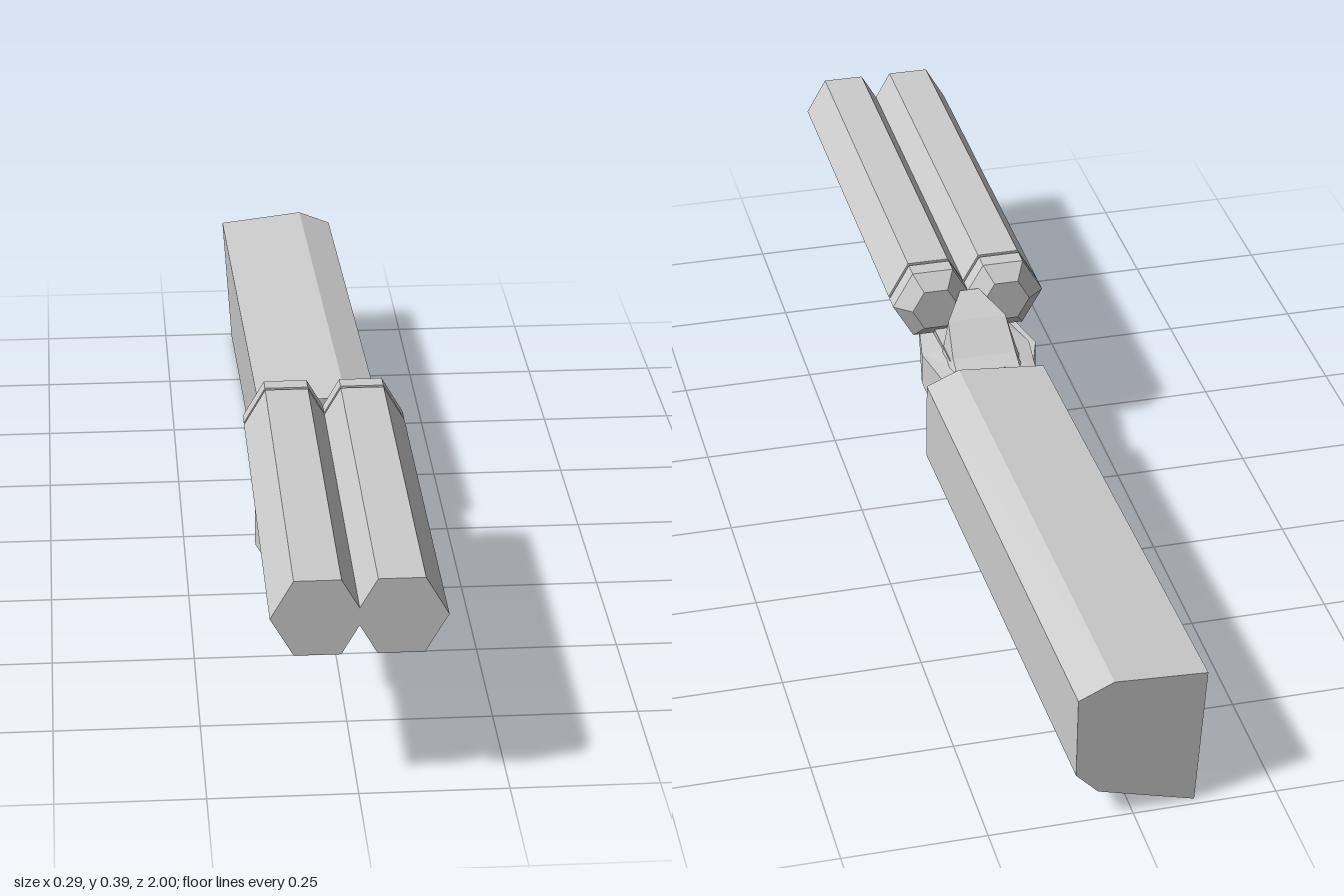
import * as THREE from 'three';

const gray = new THREE.MeshStandardMaterial({ color: 0xcccccc, flatShading: true });
gray.name = 'plain gray';

// Closed solid through rings of [x, y, z], each counter-clockwise seen from +z, front ring first
function loft(rings) {
  const pos = [];
  const tri = (a, b, c) => pos.push(...a, ...b, ...c);
  const n = rings[0].length;
  const first = rings[0], last = rings[rings.length - 1];
  for (let i = 1; i < n - 1; i++) {
    tri(first[0], first[i], first[i + 1]);
    tri(last[0], last[i + 1], last[i]);
  }
  for (let k = 0; k < rings.length - 1; k++) {
    const a = rings[k], b = rings[k + 1];
    for (let i = 0; i < n; i++) {
      const j = (i + 1) % n;
      tri(a[i], b[i], b[j]);
      tri(a[i], b[j], a[j]);
    }
  }
  const g = new THREE.BufferGeometry();
  g.setAttribute('position', new THREE.Float32BufferAttribute(pos, 3));
  g.computeVertexNormals();
  return g;
}

const ring = (z, pts) => pts.map(([x, y]) => [x, y, z]);
const mirrored = (r) => r.map(([x, y, z]) => [-x, y, z]).reverse();

// Hexagon with its corners pointing sideways
const hexagon = (cx, cy, r, z) => Array.from({ length: 6 }, (_, i) => {
  const a = i * Math.PI / 3;
  return [cx + r * Math.cos(a), cy + r * Math.sin(a), z];
});

export function createModel() {
  const model = new THREE.Group();
  model.name = 'model';
  const add = (name, geometry) => {
    const m = new THREE.Mesh(geometry, gray);
    m.name = name;
    model.add(m);
  };

  // Twin hexagonal barrels with a shallow groove and tapered rear caps
  for (const [side, s] of [['left', 1], ['right', -1]]) {
    const profile = [[1, 0.077], [0.222, 0.077], [0.222, 0.072], [0.214, 0.072],
      [0.214, 0.077], [0.182, 0.077], [0.155, 0.045]];
    add(side + 'Barrel', loft(profile.map(([z, r]) => hexagon(s * 0.068, 0.325, r, z))));
  }

  // Long stock, slightly turned so its rear drifts to one side
  const stock = [[-0.105, 0.259], [-0.088, 0], [0.083, 0.055], [0.122, 0.097],
    [0.12, 0.249], [0.058, 0.275]];
  add('stock', loft([
    stock.map(([x, y]) => [x, y, 0.013 - x * 0.022]),
    stock.map(([x, y]) => [x - 0.022, y, -0.992 - x * 0.06]),
  ]));

  // Fore-end under the barrels, running back to the wrist
  const sections = [
    // z, top, bottom, half width at top, bottom left edge, bottom right edge
    [0.8, 0.275, 0.259, 0.076, -0.074, 0.074],
    [0.69, 0.275, 0.2, 0.076, -0.072, 0.06],
    [0.4, 0.275, 0.198, 0.074, -0.07, 0.06],
    [0.2, 0.275, 0.175, 0.07, -0.058, 0.05],
    [0.1, 0.27, 0.15, 0.066, -0.03, 0.04],
    [0, 0.26, 0.133, 0.06, -0.015, 0.036],
  ];
  add('foreEnd', loft(sections.map(([z, top, bottom, w, l, r]) =>
    ring(z, [[-w, top], [l, bottom], [r, bottom], [w, top]]))));

  // Bulging cheeks either side of the wrist
  const cheek = [
    ring(0.245, [[0.06, 0.218], [0.074, 0.218], [0.082, 0.228], [0.082, 0.24], [0.06, 0.25]]),
    ring(0.12, [[0.035, 0.172], [0.088, 0.168], [0.105, 0.19], [0.104, 0.25], [0.04, 0.262]]),
    ring(0, [[0.04, 0.127], [0.08, 0.127], [0.096, 0.165], [0.088, 0.258], [0.03, 0.265]]),
  ];
  add('leftCheek', loft(cheek));
  add('rightCheek', loft(cheek.map(mirrored)));

  // Sloped block behind the barrels
  const block = [[0.17, 0.018, 0.03, 0.35], [0.11, 0.055, 0.07, 0.322],
    [0.05, 0.06, 0.075, 0.275], [0.01, 0.06, 0.075, 0.258]];
  add('breechBlock', loft(block.map(([z, wt, wb, top]) =>
    ring(z, [[-wb, 0.24], [wb, 0.24], [wt, top], [-wt, top]]))));

  // Upright magazine hanging to one side
  const outline = [[-0.082, 0.315], [-0.122, 0.14], [-0.1, 0.07], [-0.075, 0.02],
    [-0.005, 0.01], [0.013, 0.05], [-0.015, 0.315]];
  const shape = new THREE.Shape(outline.map(([x, z]) => new THREE.Vector2(x, -z)));
  const magazine = new THREE.ExtrudeGeometry(shape, { depth: 0.188, bevelEnabled: false });
  magazine.rotateX(-Math.PI / 2).translate(0, 0.047, 0);
  add('magazine', magazine);

  return model;
}
